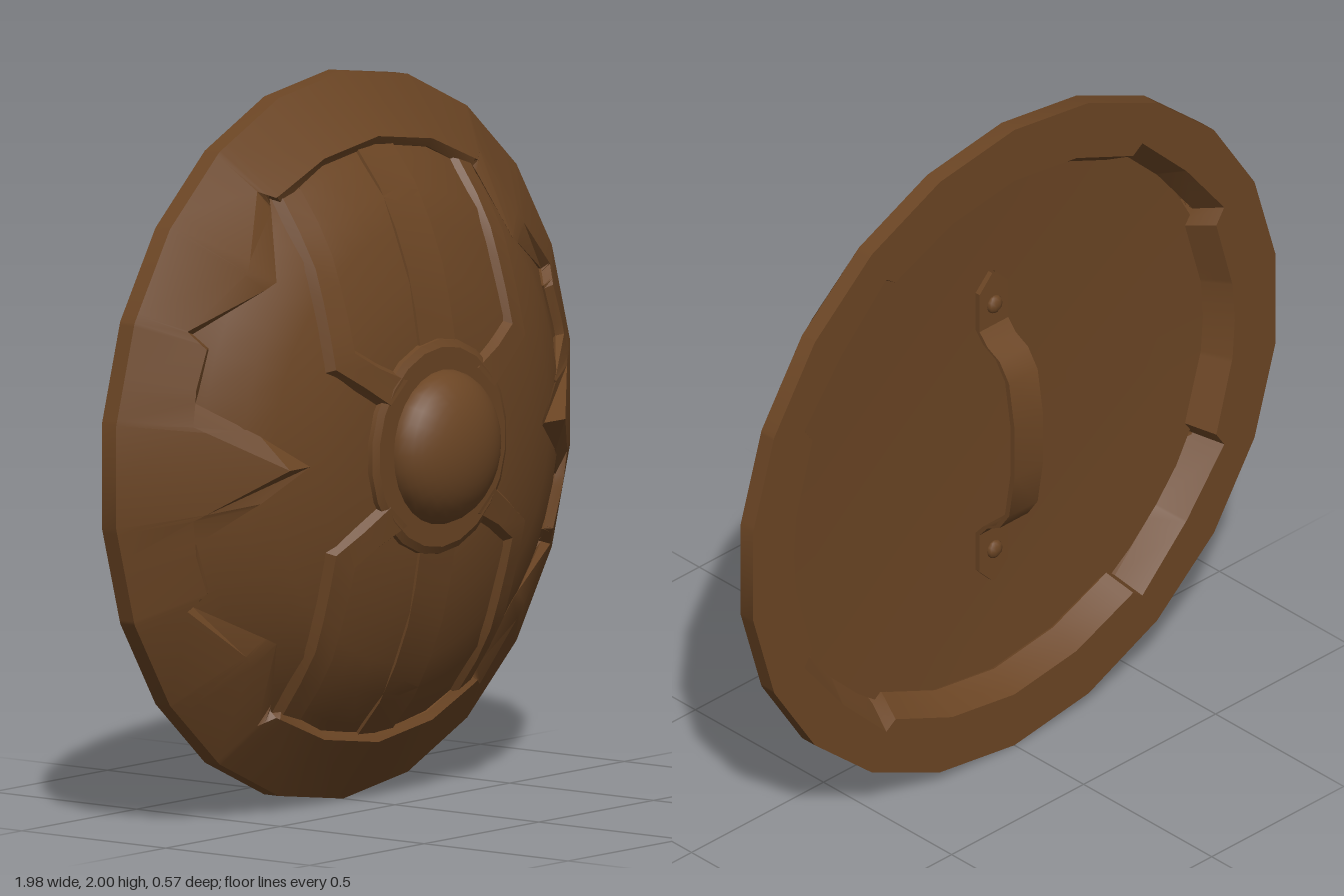
import * as THREE from 'three';
import { toCreasedNormals } from 'three/addons/utils/BufferGeometryUtils.js';

const bronze = new THREE.MeshStandardMaterial({ color: 0x6b4524, side: THREE.DoubleSide });
bronze.name = 'brown';

// Dome profile: radius, depth
const DOME = [[0.86, -0.115], [0.78, -0.055], [0.69, 0.02], [0.6, 0.058], [0.46, 0.112], [0.28, 0.144], [0, 0.155]];
function domeZ(x, y) {
  const r = Math.hypot(x, y);
  for (let i = 1; i < DOME.length; i++) {
    const [r0, z0] = DOME[i - 1], [r1, z1] = DOME[i];
    if (r >= r1) return z0 + (z1 - z0) * (r - r0) / (r1 - r0);
  }
  return 0.155;
}
const coneZ = r => -0.18 + (1 - r) * 0.735;

// Surface through rows of points
function grid(rows, closed, crease = 0.4) {
  const n = rows[0].length, index = [];
  for (let i = 0; i < rows.length - 1; i++) {
    for (let j = 0; j < (closed ? n : n - 1); j++) {
      const k = (j + 1) % n, a = i * n + j, b = i * n + k;
      index.push(a, b, a + n, b, b + n, a + n);
    }
  }
  const g = new THREE.BufferGeometry();
  g.setAttribute('position', new THREE.Float32BufferAttribute(rows.flat(2), 3));
  g.setIndex(index);
  return toCreasedNormals(g, crease);
}

const angleOf = p => (Math.atan2(p[1], p[0]) + Math.PI * 2) % (Math.PI * 2);
const byAngle = (a, b) => angleOf(a) - angleOf(b);

// Mirror one quadrant of an outline into all four
function outline(quadrant) {
  const pts = [];
  for (const [x, y] of quadrant) {
    for (const sx of x > 0.001 ? [1, -1] : [1]) {
      for (const sy of y > 0.001 ? [1, -1] : [1]) pts.push([sx * x, sy * y]);
    }
  }
  return pts.sort(byAngle);
}
const arc = (r, degrees) => degrees.map(d => {
  const a = THREE.MathUtils.degToRad(d);
  return [r * Math.cos(a), r * Math.sin(a)];
});

// Distance from the centre to an outline in direction t
function radiusAt(poly, t) {
  const c = Math.cos(t), s = Math.sin(t);
  for (let i = 0; i < poly.length; i++) {
    const [x0, y0] = poly[i], [x1, y1] = poly[(i + 1) % poly.length];
    const k0 = c * y0 - s * x0, k1 = c * y1 - s * x1;
    if (k0 <= 1e-9 && k1 > 1e-9) {
      const f = -k0 / (k1 - k0);
      return c * (x0 + f * (x1 - x0)) + s * (y0 + f * (y1 - y0));
    }
  }
  return 0.83;
}

// Rim with inward spikes, bevelled inner edge and a sloping stepped opening behind
function rimGeometry() {
  const outer = Array.from({ length: 22 }, (_, i) => {
    const a = Math.PI / 2 + i * Math.PI / 11;
    return [Math.cos(a), Math.sin(a)];
  }).sort(byAngle);
  const top = [73.6, 90];
  const front = outline([[0.6, 0], [0.815, 0.13], ...arc(0.83, [16]), [0.755, 0.335], [0.79, 0.385],
    [0.6, 0.53], [0.485, 0.735], [0.44, 0.715], ...arc(0.833, top)]);
  const foot = outline([[0.51, 0], [0.785, 0.19], [0.73, 0.335], [0.76, 0.375],
    [0.515, 0.497], [0.435, 0.715], [0.41, 0.695], ...arc(0.81, top)]);
  const back = outline([...arc(0.835, [0, 8.2]), [0.765, 0.34], [0.795, 0.385], ...arc(0.865, [41]),
    [0.485, 0.735], [0.45, 0.71], ...arc(0.835, top)]);
  const angles = [...outer, ...front, ...foot, ...back].map(angleOf).sort((a, b) => a - b)
    .filter((t, i, all) => i === 0 || t - all[i - 1] > 1e-4);
  const row = (poly, z, scale = 1) => angles.map(t => {
    const r = radiusAt(poly, t) * scale;
    return [r * Math.cos(t), r * Math.sin(t), z(r)];
  });
  const floor = row(back, () => -0.15, 0.945);
  return grid([floor, row(back, () => -0.23), row(outer, () => -0.23), row(outer, () => -0.18),
    row(front, coneZ), row(foot, r => Math.min(coneZ(r) - 0.03, 0.112)), floor], true);
}

// Raised band on the dome; each section is [inner point, outer point]
function bandGeometry(sections, height, bevel, sx, sy) {
  const rows = sections.map(([p, q]) => {
    const w = Math.hypot(q[0] - p[0], q[1] - p[1]);
    const pts = [[0, -0.02], [bevel / w, height], [1 - bevel / w, height], [1, -0.02]].map(([f, h]) => {
      const x = p[0] + f * (q[0] - p[0]), y = p[1] + f * (q[1] - p[1]);
      return [sx * x, sy * y, domeZ(x, y) + h];
    });
    return sx * sy < 0 ? pts.reverse() : pts;
  });
  return grid(rows, false);
}

function lathe(profile, segments) {
  const g = new THREE.LatheGeometry(profile.map(p => new THREE.Vector2(...p)), segments);
  return g.rotateX(Math.PI / 2);
}

export function createModel() {
  const model = new THREE.Group();
  model.name = 'roundShield';
  const body = new THREE.Group();
  body.name = 'shieldBody';
  body.position.y = 1;
  model.add(body);
  const add = (name, geometry) => {
    const mesh = new THREE.Mesh(geometry, bronze);
    mesh.name = name;
    body.add(mesh);
    return mesh;
  };

  add('rim', rimGeometry());
  add('dome', lathe(DOME, 44));

  // Slightly hollow back board
  const board = new THREE.RingGeometry(0, 0.82, 44, 6).rotateY(Math.PI);
  const pos = board.attributes.position;
  for (let i = 0; i < pos.count; i++) {
    pos.setZ(i, -0.13 - 0.035 * pos.getX(i) ** 2 - 0.02 * pos.getY(i) ** 2);
  }
  board.computeVertexNormals();
  add('backBoard', board);

  // Four bent straps running from the centre ring to the rim
  const strap = [[[0.13, 0.22], [0.25, 0.12]], [[0.235, 0.265], [0.345, 0.18]]];
  for (let i = 0; i <= 5; i++) {
    const f = i / 5;
    strap.push([[0.315, 0.31 + 0.43 * f], [0.44, 0.24 + 0.46 * f]]);
  }
  // Centre planks above and below
  const plank = [];
  for (let i = 0; i <= 5; i++) plank.push([[-0.08, 0.27 + 0.11 * i], [0.08, 0.27 + 0.11 * i]]);
  for (const sy of [1, -1]) {
    for (const sx of [1, -1]) add('strap', bandGeometry(strap, 0.022, 0.032, sx, sy));
    add('plank', bandGeometry(plank, 0.007, 0.004, 1, sy));
  }

  // Centre ring and boss
  add('bossRing', toCreasedNormals(lathe([[0.3, 0.12], [0.295, 0.154], [0.275, 0.165], [0.2, 0.165]], 22), 0.4));
  const boss = new THREE.SphereGeometry(0.213, 28, 10, 0, Math.PI * 2, 0, Math.PI / 2).rotateX(Math.PI / 2);
  const bossMesh = add('boss', boss);
  bossMesh.scale.z = 0.6;
  bossMesh.position.z = 0.157;

  // Handle: bent strip with pointed, riveted ends
  const half = [[0.5, -0.15, 0.006], [0.45, -0.15, 0.054], [0.33, -0.15, 0.054], [0.295, -0.18, 0.054],
    [0.27, -0.228, 0.054], [0.215, -0.265, 0.054], [0.08, -0.286, 0.054]];
  const path = [...half, ...half.map(([y, z, w]) => [-y, z, w]).reverse()];
  const strip = path.map(([y, z, w]) => {
    const t = 0.016;
    return [[w, y, z], [w, y, z + t], [-w, y, z + t], [-w, y, z]];
  });
  add('handle', grid(strip, true, 0.6));
  for (const sy of [1, -1]) {
    const rivet = add('rivet', new THREE.SphereGeometry(0.027, 10, 6));
    rivet.position.set(0, sy * 0.398, -0.152);
    rivet.scale.z = 0.6;
  }
  return model;
}
